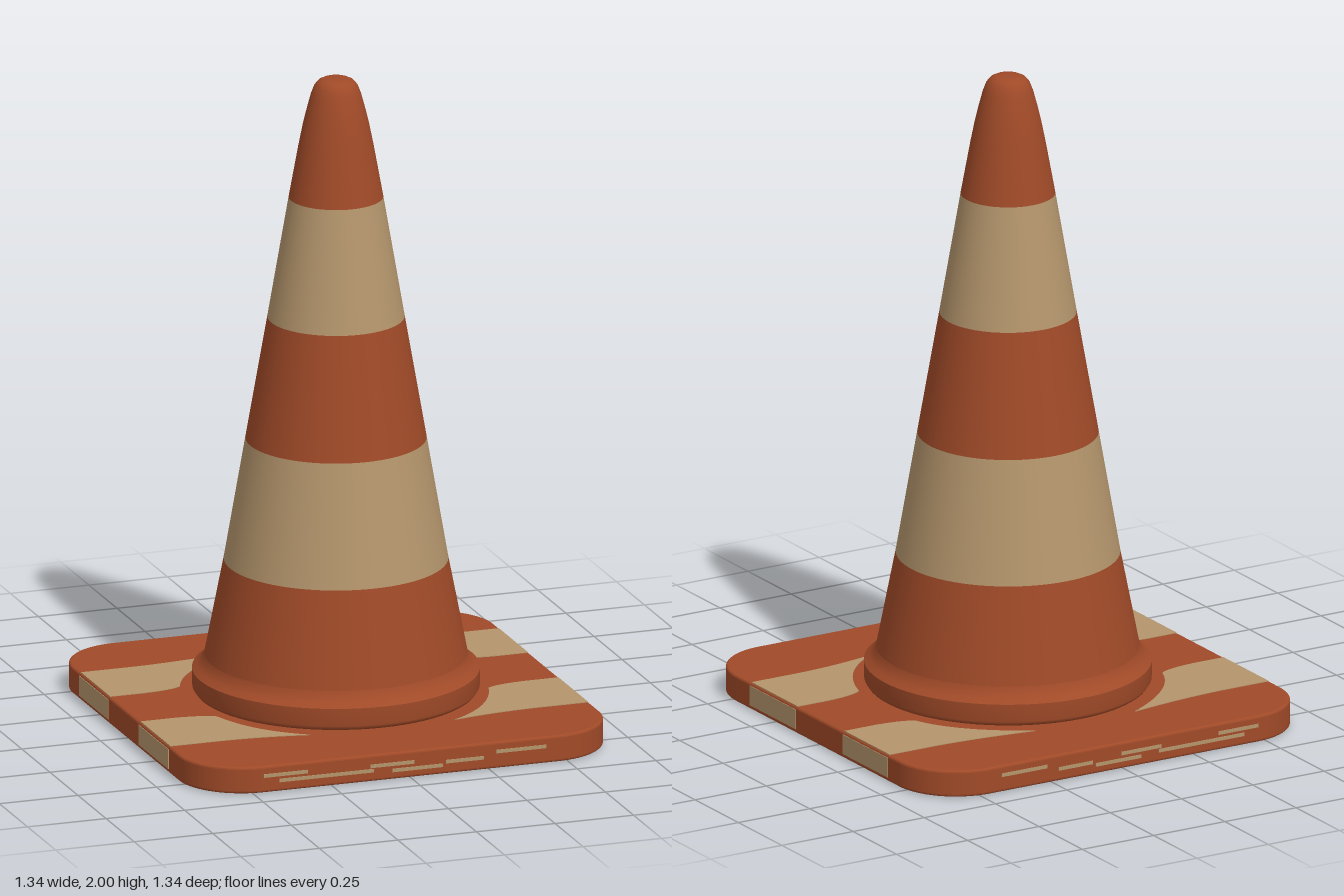
import * as THREE from 'three';

const orange = new THREE.MeshStandardMaterial({ color: 0xa04a28 });
orange.name = 'faded orange';
const tan = new THREE.MeshStandardMaterial({ color: 0xb4956c });
tan.name = 'dusty tan';

const HALF = 0.67, TOP = 0.085, SKIN = 0.002;

export function createModel() {
  const group = new THREE.Group();
  const add = (name, geometry, material) => {
    const mesh = new THREE.Mesh(geometry, material);
    mesh.name = name;
    group.add(mesh);
    return mesh;
  };
  const lathe = (name, points, material) =>
    add(name, new THREE.LatheGeometry(points.map(([r, y]) => new THREE.Vector2(r, y)), 72), material);
  const box = (name, w, h, d, x, y, z) =>
    add(name, new THREE.BoxGeometry(w, h, d), tan).position.set(x, y, z);

  // Rounded square base slab with softly bevelled rims
  const bevel = 0.008, r = 0.2, s = HALF;
  const slab = new THREE.Shape();
  slab.moveTo(-s + r, -s);
  slab.lineTo(s - r, -s).absarc(s - r, -s + r, r, -Math.PI / 2, 0);
  slab.lineTo(s, s - r).absarc(s - r, s - r, r, 0, Math.PI / 2);
  slab.lineTo(-s + r, s).absarc(-s + r, s - r, r, Math.PI / 2, Math.PI);
  slab.lineTo(-s, -s + r).absarc(-s + r, -s + r, r, Math.PI, Math.PI * 1.5);
  const slabGeometry = new THREE.ExtrudeGeometry(slab, {
    depth: TOP - SKIN - 2 * bevel, bevelSize: bevel, bevelThickness: bevel,
    bevelOffset: -bevel, bevelSegments: 3, curveSegments: 16,
  });
  slabGeometry.rotateX(-Math.PI / 2).translate(0, SKIN + bevel, 0);
  add('baseSlab', slabGeometry, orange);

  // Worn stripes on the slab top, tapering around the foot of the cone
  const bands = [
    { name: 'back', sign: -1, inner: 0.15, outer: 0.41, tipX: 0.175, tipZ: 0.445, bendZ: 0.18 },
    { name: 'front', sign: 1, inner: 0.12, outer: 0.385, tipX: 0.23, tipZ: 0.418, bendZ: 0.15 },
  ];
  for (const b of bands) {
    for (const side of [-1, 1]) {
      const p = (x, z) => [side * x, -b.sign * z];
      const shape = new THREE.Shape();
      shape.moveTo(...p(0.665, b.inner));
      shape.lineTo(...p(0.56, b.inner));
      shape.quadraticCurveTo(...p(0.46, b.inner + 0.005), ...p(0.432, b.bendZ));
      shape.quadraticCurveTo(...p(0.38, 0.33), ...p(b.tipX, b.tipZ));
      shape.quadraticCurveTo(...p(0.36, b.outer + 0.003), ...p(0.5, b.outer));
      shape.lineTo(...p(0.665, b.outer));
      const plate = new THREE.ExtrudeGeometry(shape, { depth: 0.003, bevelEnabled: false, curveSegments: 16 });
      plate.rotateX(-Math.PI / 2).translate(0, TOP - 0.001, 0);
      add(b.name + 'TopStripe', plate, tan);

      // Stripe carried over the slab's side edge
      const width = b.outer - b.inner, middle = b.sign * (b.outer + b.inner) / 2;
      box(b.name + 'EdgeStripe', 0.004, 0.062, width, side * HALF, 0.046, middle);
    }
    // Straight stripe across the underside
    box(b.name + 'UndersideStripe', 1.32, 0.004, b.outer - b.inner, 0, 0.002, b.sign * (b.outer + b.inner) / 2);
  }

  // Scuffed streaks along the front and back edges: centre, height, length
  const streaks = [
    [-0.4, 0.055, 0.14], [-0.27, 0.036, 0.3], [-0.06, 0.05, 0.14],
    [0.17, 0.04, 0.12], [0.35, 0.055, 0.16], [0.02, 0.03, 0.16],
  ];
  for (const side of [-1, 1])
    for (const [x, y, length] of streaks)
      box('edgeScuff', length, 0.011, 0.004, x, y, side * HALF);

  // Collar at the foot of the cone
  lathe('footCollar', [[0.41, 0.08], [0.423, 0.088], [0.431, 0.1], [0.432, 0.155]], orange);
  lathe('footShoulder', [[0.432, 0.155], [0.415, 0.168], [0.402, 0.182], [0.395, 0.2]], orange);

  // Conical body in alternating colour bands
  const levels = [[0.395, 0.2], [0.337, 0.497], [0.272, 0.875], [0.206, 1.255], [0.142, 1.63]];
  const names = ['lowerBody', 'lowerBand', 'middleBody', 'upperBand'];
  names.forEach((name, i) => lathe(name, [levels[i], levels[i + 1]], i % 2 ? tan : orange));

  // Rounded tip
  lathe('tip', [[0.142, 1.63], [0.113, 1.79], [0.1, 1.855], [0.088, 1.905], [0.076, 1.95],
    [0.066, 1.977], [0.054, 1.992], [0.04, 1.999], [0.02, 2], [0, 2]], orange);

  return group;
}
